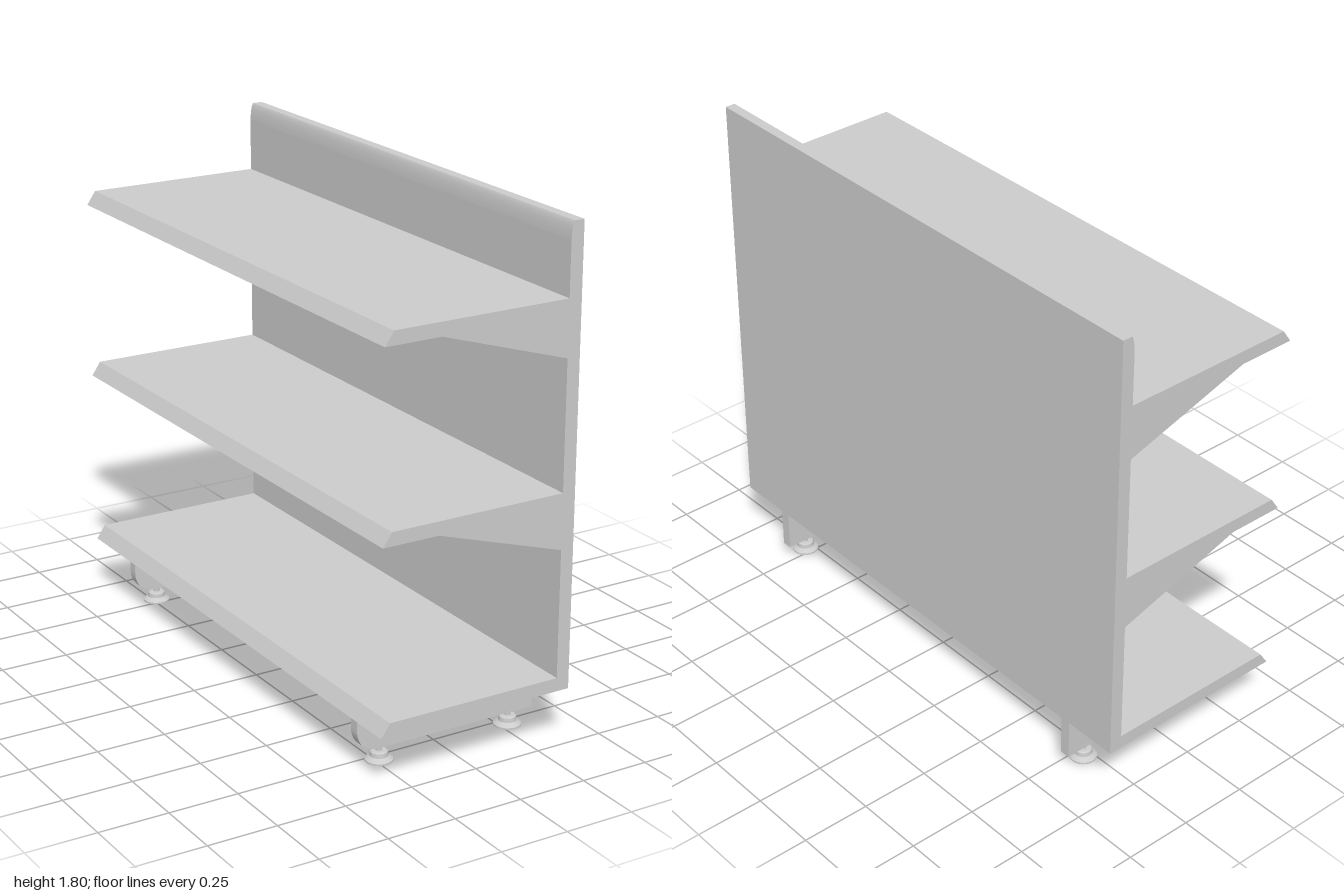
import * as THREE from 'three';

const grey = new THREE.MeshStandardMaterial({ color: 0xcccccc, flatShading: true });
const smoothGrey = new THREE.MeshStandardMaterial({ color: 0xcccccc });

// Side profile in x/y, extruded along z and centred on z
function slab(name, shape, width, z = 0) {
  const geometry = new THREE.ExtrudeGeometry(shape, { depth: width, bevelEnabled: false, curveSegments: 10 });
  geometry.translate(0, 0, z - width / 2);
  const mesh = new THREE.Mesh(geometry, grey);
  mesh.name = name;
  return mesh;
}

const polygon = (points) => new THREE.Shape(points.map(([x, y]) => new THREE.Vector2(x, y)));

export function createModel() {
  const model = new THREE.Group();
  model.name = 'displayShelving';
  const inner = 0.317, back = 0.365, half = 1;

  // Upright back panel with a rounded top edge
  const panel = new THREE.Shape();
  panel.moveTo(inner, 0.2);
  panel.lineTo(back, 0.2);
  panel.lineTo(back, 1.8);
  panel.lineTo(0.328, 1.8);
  panel.quadraticCurveTo(0.319, 1.785, inner, 1.74);
  panel.closePath();
  model.add(slab('backPanel', panel, 2 * half));

  // Shelves with a sloped front lip; the upper ones have thin end brackets
  const plate = 0.012;
  [0.2, 0.851, 1.502].forEach((y, i) => {
    const shelf = new THREE.Group();
    shelf.name = ['bottomShelf', 'middleShelf', 'topShelf'][i];
    shelf.add(slab('shelfBoard', polygon([[-0.368, y], [inner, y], [inner, y + 0.048], [-0.335, y + 0.048]]), 2 * half));
    if (i > 0) {
      for (const side of [-1, 1]) {
        const bracket = polygon([[-0.16, y], [inner, y - 0.149], [inner, y]]);
        shelf.add(slab('shelfBracket', bracket, plate, side * (half - plate / 2)));
      }
    }
    model.add(shelf);
  });

  // Base rails with a rounded front corner, each on two levelling feet
  const rail = new THREE.Shape();
  rail.moveTo(back, 0.2);
  rail.lineTo(-0.332, 0.2);
  rail.lineTo(-0.332, 0.135);
  rail.bezierCurveTo(-0.332, 0.085, -0.3, 0.052, -0.245, 0.052);
  rail.lineTo(back, 0.052);
  rail.closePath();

  const footBase = new THREE.LatheGeometry(
    [[0, 0], [0.048, 0], [0.048, 0.006], [0.032, 0.018], [0.03, 0.033], [0.025, 0.037], [0, 0.037]]
      .map(([r, y]) => new THREE.Vector2(r, y)), 24);
  const stem = new THREE.CylinderGeometry(0.011, 0.011, 0.025, 16);
  for (const z of [-0.78, 0.78]) {
    model.add(slab('baseRail', rail, 0.038, z));
    for (const x of [-0.235, 0.28]) {
      const foot = new THREE.Group();
      foot.name = 'levellingFoot';
      const pad = new THREE.Mesh(footBase, grey);
      pad.name = 'footPad';
      const rod = new THREE.Mesh(stem, smoothGrey);
      rod.name = 'footStem';
      rod.position.y = 0.045;
      foot.add(pad, rod);
      foot.position.set(x, 0, z);
      model.add(foot);
    }
  }
  return model;
}
